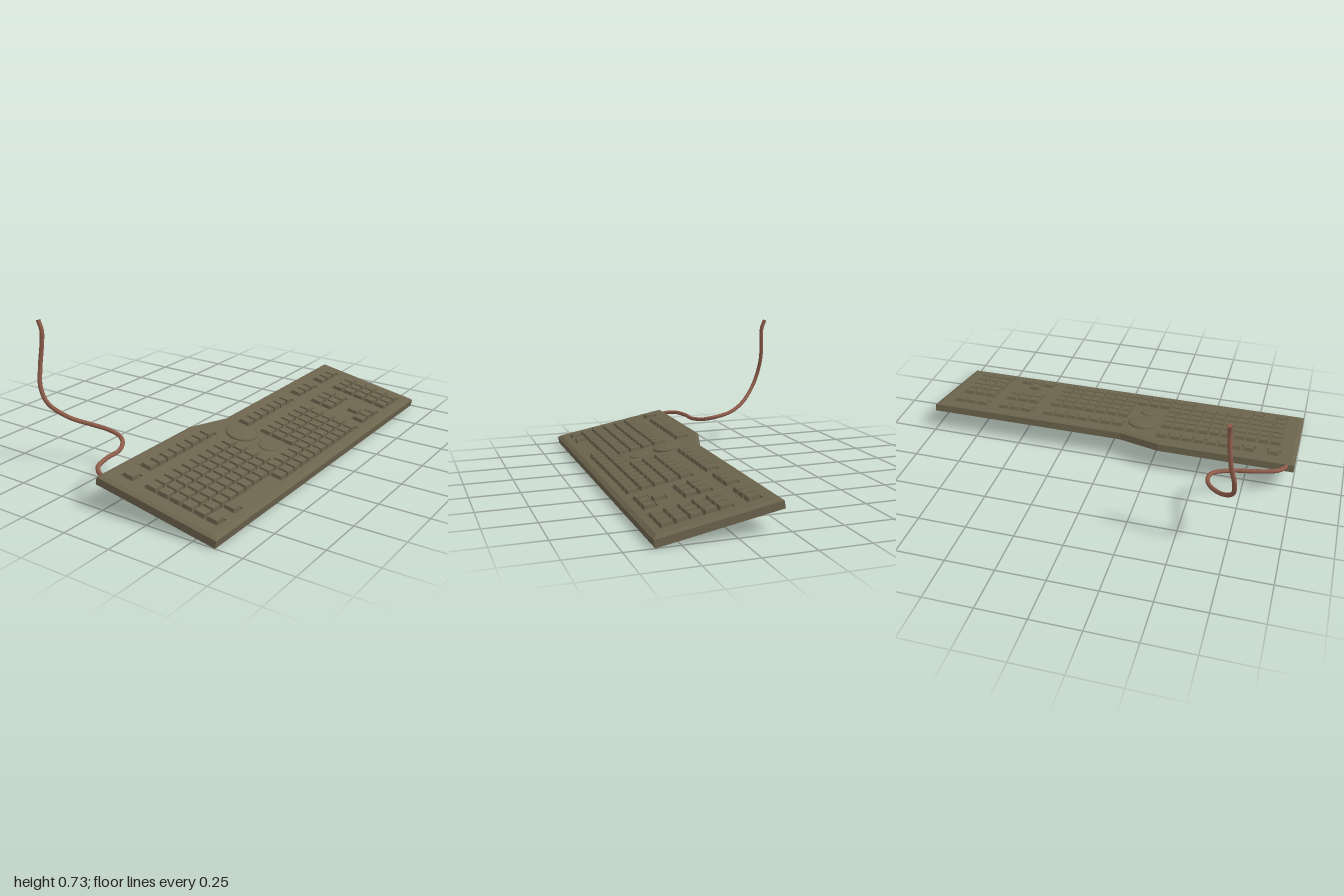
import * as THREE from 'three';
import { mergeGeometries } from 'three/addons/utils/BufferGeometryUtils.js';

const TILT = 0.1825, SIDE = 0.037, DECK = 0.047, PITCH = 0.0655;
const along = x => (x + 0.028) / Math.cos(TILT); // plan x to distance along the sloping deck

// Key blocks: x, z, then for each row the first and last column
const rep = (n, row) => Array(n).fill(row);
const blocks = [
  [0.106, -0.92, rep(3, [0, 1])],
  [0.236, -0.92, rep(3, [0, 5])],
  [0.106, -0.66, rep(3, [0, 1])],
  [0.236, -0.66, rep(3, [0, 2])],
  [0.43, -0.66, [[1, 2], [0, 2], [1, 2]]],
  [0.106, -0.395, rep(7, [0, 1])],
  [0.042, 0.263, rep(8, [0, 1])],
  [0.042, 0.85, [[0, 1]]],
  [0.171, -0.395, [...rep(7, [1, 6]), ...rep(3, [4, 6]), ...rep(2, [0, 6]),
    ...rep(5, [0, 5]), [0, 6], [0, 5], [0, 6]]],
];

const outer = [[-0.028, 1], [0.62, 1], [0.62, -1], [0.039, -1], [0.039, 0.07], [-0.028, 0.29]];
const inner = [[-0.014, 0.98], [0.598, 0.98], [0.598, -0.98], [0.052, -0.98], [0.052, 0.074], [-0.014, 0.294]];
const points = list => list.map(([x, z]) => new THREE.Vector2(along(x), -z));

function slab(shape, y, depth) {
  return new THREE.ExtrudeGeometry(shape, { depth, bevelEnabled: false })
    .rotateX(-Math.PI / 2).translate(0, y, 0);
}

// Sloping edge between the side wall and the deck
function bevelRing() {
  const pos = [];
  outer.forEach((p, i) => {
    const j = (i + 1) % outer.length;
    const at = (q, y) => [along(q[0]), y, q[1]];
    const a = at(p, SIDE), b = at(outer[j], SIDE), c = at(inner[j], DECK), d = at(inner[i], DECK);
    pos.push(...a, ...b, ...c, ...a, ...c, ...d);
  });
  const g = new THREE.BufferGeometry();
  g.setAttribute('position', new THREE.Float32BufferAttribute(pos, 3));
  g.computeVertexNormals();
  return g;
}

// Stepped outline of a sunken well around one key block
function well([x0, z0, rows]) {
  const right = [], left = [], m = 0.003;
  rows.forEach(([a, b], r) => {
    const za = z0 + r * PITCH - (r === 0 ? m : 0);
    const zb = z0 + (r + 1) * PITCH + (r === rows.length - 1 ? m : 0);
    const push = (list, x) => {
      const n = list.length;
      if (n && list[n - 1][0] === x) list[n - 1][1] = zb;
      else list.push([x, za], [x, zb]);
    };
    push(right, x0 + b * PITCH + m);
    push(left, x0 + a * PITCH - m);
  });
  return new THREE.Path(points([...right, ...left.reverse()]));
}

// Tapered key cap
function keyCap(x, z) {
  const h = 0.024;
  const g = new THREE.BoxGeometry(0.059, h, 0.058).toNonIndexed();
  const p = g.attributes.position;
  for (let i = 0; i < p.count; i++) {
    if (p.getY(i) > 0) p.setXYZ(i, p.getX(i) * 0.86, p.getY(i), p.getZ(i) * 0.86);
  }
  g.computeVertexNormals();
  return g.translate(along(x), SIDE + h / 2, z);
}

export function createModel() {
  const model = new THREE.Group();
  const casing = new THREE.MeshStandardMaterial({ color: 0x6c644d });
  casing.name = 'olive casing';
  const copper = new THREE.MeshStandardMaterial({ color: 0x8e5c4a });
  copper.name = 'copper cable';
  const add = (parent, name, geometry, material) => {
    const mesh = new THREE.Mesh(geometry, material);
    mesh.name = name;
    parent.add(mesh);
    return mesh;
  };

  // Tilted keyboard
  const board = new THREE.Group();
  board.name = 'keyboard';
  board.position.set(-0.035, 0.12, 0);
  board.rotation.z = -TILT;
  model.add(board);

  add(board, 'base', slab(new THREE.Shape(points(outer)), 0, SIDE), casing);
  add(board, 'bevelledEdge', bevelRing(), casing);
  const deck = new THREE.Shape(points(inner));
  deck.holes = blocks.map(well);
  add(board, 'deck', slab(deck, SIDE, DECK - SIDE), casing);

  // Keys, one mesh for each block
  for (const [x0, z0, rows] of blocks) {
    const caps = [];
    rows.forEach(([a, b], r) => {
      for (let c = a; c < b; c++) caps.push(keyCap(x0 + (c + 0.5) * PITCH, z0 + (r + 0.5) * PITCH));
    });
    add(board, 'keyBlock', mergeGeometries(caps), casing);
  }

  // Round domes between the key halves
  const dome = (name, x, z, radius, height) => {
    const profile = [[1, 0], [1, 0.45], [0.95, 0.6], [0.75, 0.8], [0.4, 0.95], [0, 1]]
      .map(([r, y]) => new THREE.Vector2(r * radius, y * height));
    add(board, name, new THREE.LatheGeometry(profile, 40), casing).position.set(along(x), DECK, z);
  };
  dome('largeDome', 0.19, 0.16, 0.08, 0.018);
  dome('smallDome', 0.35, 0.16, 0.05, 0.01);

  // Cable curling away and up
  const path = new THREE.CatmullRomCurve3([
    [-0.015, 0.143, 0.96], [-0.05, 0.149, 0.953], [-0.095, 0.156, 0.915], [-0.127, 0.156, 0.815],
    [-0.143, 0.152, 0.71], [-0.185, 0.16, 0.635], [-0.233, 0.172, 0.605], [-0.31, 0.187, 0.605],
    [-0.38, 0.205, 0.635], [-0.47, 0.245, 0.7], [-0.55, 0.32, 0.758], [-0.585, 0.4, 0.765],
    [-0.598, 0.5, 0.745], [-0.593, 0.61, 0.73], [-0.593, 0.675, 0.725], [-0.612, 0.727, 0.725],
  ].map(p => new THREE.Vector3(...p)));
  add(model, 'cable', new THREE.TubeGeometry(path, 120, 0.011, 12), copper);
  const tip = add(model, 'cableEnd', new THREE.CircleGeometry(0.011, 12), copper);
  tip.position.copy(path.getPoint(1));
  tip.lookAt(path.getPoint(1).add(path.getTangent(1)));

  return model;
}
